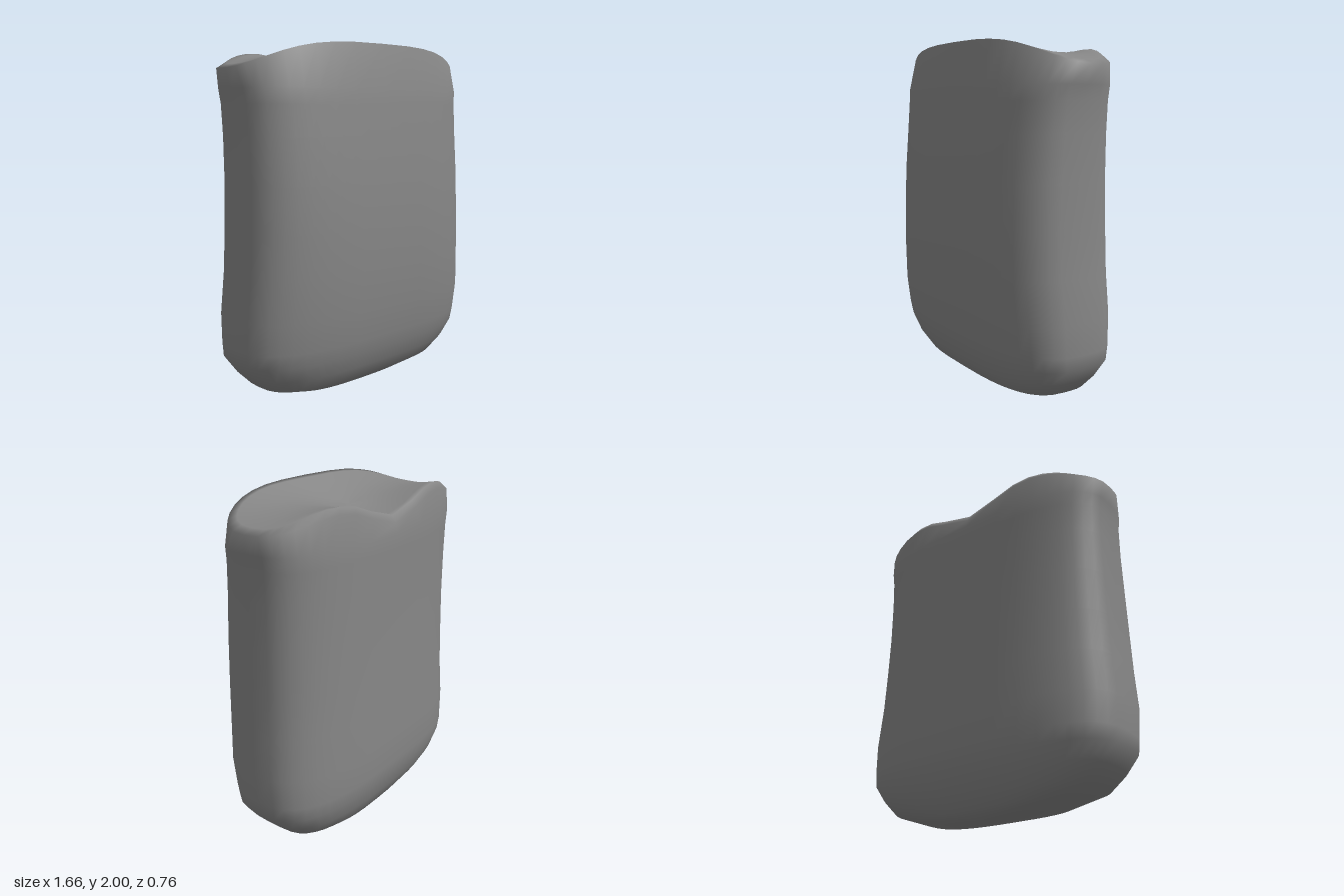
import * as THREE from 'three';

const SIDES = 40;

// Rounded-rectangle outline point: half width, front z, back z
function outline(angle, hx, zf, zb, n) {
  const c = Math.cos(angle), s = Math.sin(angle);
  const pw = (v) => Math.sign(v) * Math.pow(Math.abs(v), 2 / n);
  const mid = (zf + zb) / 2, hz = (zf - zb) / 2;
  return [hx * pw(c), mid + hz * pw(s)];
}

// Height of the saddle-shaped top: arched across, sagging in the middle and at the back
function topHeight(x, z) {
  const u = Math.min(1, Math.abs(x) / 0.83);
  const t = THREE.MathUtils.clamp((0.28 - z) / 0.6, 0, 1);
  return 2 - 0.14 * u ** 4 - 0.015 * t - 0.05 * Math.sin(Math.PI * t) * (1 - u ** 4)
    - 0.14 * t * Math.exp(-((u / 0.35) ** 2));
}

export function createModel() {
  // Body sections from the base up: y, half width, front z, back z
  const sections = [
    [0, 0.001, -0.16, -0.161],
    [0.012, 0.25, 0.0, -0.21],
    [0.04, 0.46, 0.14, -0.255],
    [0.105, 0.66, 0.24, -0.3],
    [0.19, 0.745, 0.295, -0.345],
    [0.28, 0.813, 0.325, -0.367],
    [0.36, 0.818, 0.345, -0.38],
    [0.53, 0.825, 0.367, -0.38],
    [0.76, 0.805, 0.38, -0.372],
    [1.0, 0.796, 0.38, -0.366],
    [1.25, 0.79, 0.372, -0.36],
    [1.5, 0.79, 0.35, -0.357],
    [1.67, 0.797, 0.333, -0.355],
    [1.75, 0.81, 0.323, -0.354],
  ];
  const rings = sections.map(([y, hx, zf, zb]) => (a) => {
    const [x, z] = outline(a, hx, zf, zb, 3);
    return [x, y, z];
  });

  // Top: the rim, rolled down along the back, then rings shrinking to the centre of the saddle
  for (const s of [1, 0.93, 0.82, 0.68, 0.52, 0.35, 0.18, 0.001]) {
    rings.push((a) => {
      const [x, z] = outline(a, 0.83 * s, -0.03 + 0.31 * s, -0.03 - 0.31 * s, 2.7);
      const roll = s === 1 ? 0.04 * THREE.MathUtils.smoothstep(-z, 0.1, 0.33) : 0;
      return [x, topHeight(x, z) - roll, z];
    });
  }

  // Join the rings into one closed smooth skin
  const positions = [], index = [];
  rings.forEach((ring, r) => {
    for (let i = 0; i < SIDES; i++) {
      positions.push(...ring((i / SIDES) * Math.PI * 2));
      if (r === 0) continue;
      const j = (i + 1) % SIDES;
      const a = (r - 1) * SIDES + i, b = (r - 1) * SIDES + j;
      const c = r * SIDES + i, d = r * SIDES + j;
      index.push(a, c, b, b, c, d);
    }
  });
  const geometry = new THREE.BufferGeometry();
  geometry.setAttribute('position', new THREE.Float32BufferAttribute(positions, 3));
  geometry.setIndex(index);
  geometry.computeVertexNormals();

  const body = new THREE.Mesh(geometry, new THREE.MeshStandardMaterial({ color: 0x868686 }));
  body.name = 'pouchBody';
  const group = new THREE.Group();
  group.name = 'pouch';
  group.add(body);
  return group;
}
